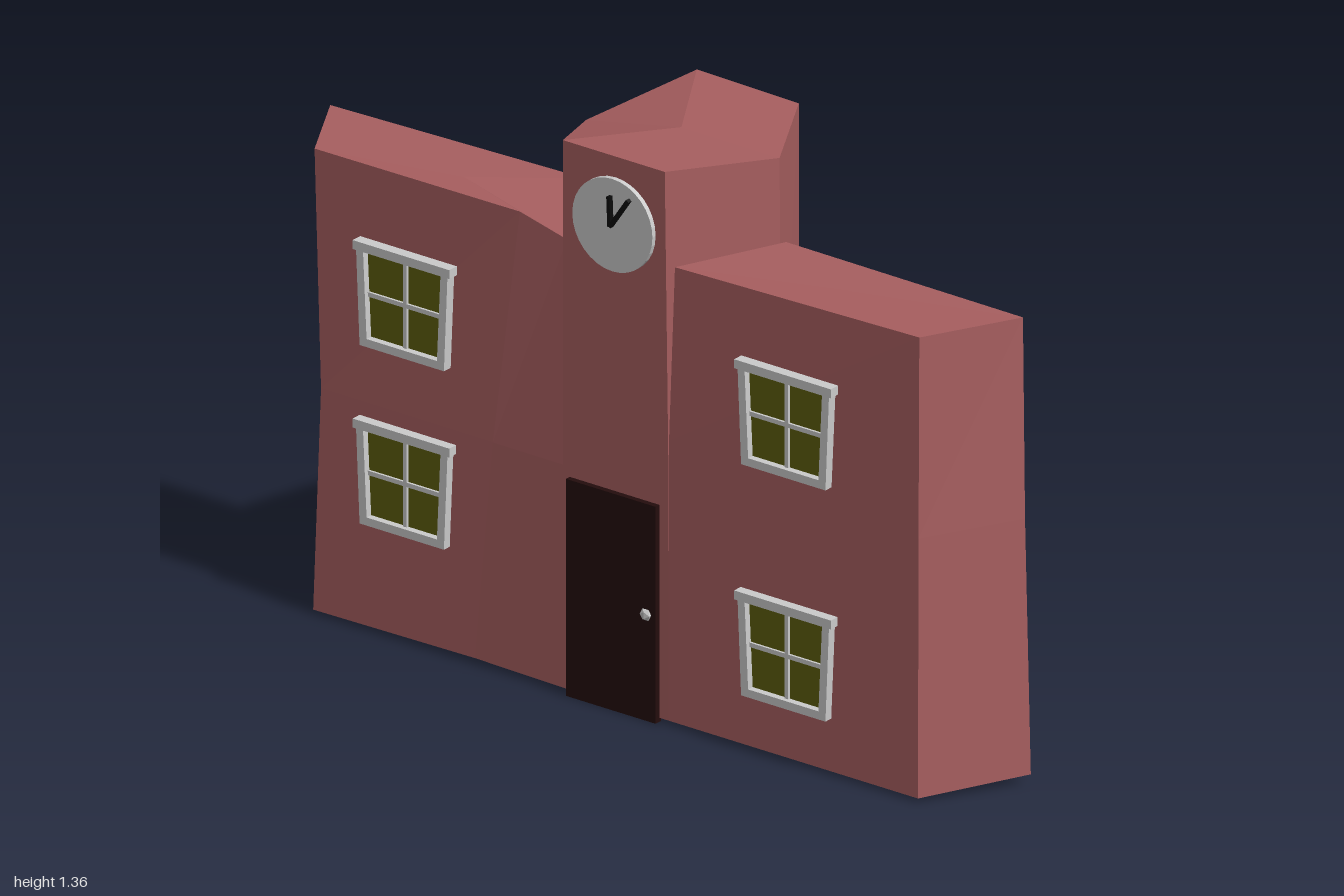
import * as THREE from 'three';

const mat = (color) => new THREE.MeshStandardMaterial({ color, flatShading: true });
const brick = mat(0xa85f60), grey = mat(0xcccccc), glass = mat(0x5e5e0c);
const doorMat = mat(0x240d0d), black = mat(0x0a0a0a);

function add(parent, name, geometry, material, x = 0, y = 0, z = 0) {
  const mesh = new THREE.Mesh(geometry, material);
  mesh.name = name;
  mesh.position.set(x, y, z);
  parent.add(mesh);
  return mesh;
}

// Closed solid through stacked rings of [x, y, z] corners, counter-clockwise from above
function loft(rings) {
  const pos = [], n = rings[0].length;
  const tri = (...p) => p.forEach((v) => pos.push(...v));
  const mid = (r) => [0, 1, 2].map((k) => r.reduce((s, p) => s + p[k], 0) / n);
  const low = rings[0], top = rings[rings.length - 1];
  const lowMid = mid(low), topMid = mid(top);
  for (let i = 0; i < n; i++) {
    const j = (i + 1) % n;
    for (let k = 0; k + 1 < rings.length; k++) {
      const a = rings[k], b = rings[k + 1];
      tri(a[i], a[j], b[j]);
      tri(a[i], b[j], b[i]);
    }
    tri(top[i], top[j], topMid);
    tri(low[j], low[i], lowMid);
  }
  const g = new THREE.BufferGeometry();
  g.setAttribute('position', new THREE.Float32BufferAttribute(pos, 3));
  g.computeVertexNormals();
  return g;
}

// Slightly tapered frame with glass, glazing bars and a lintel; origin at bottom centre
function makeWindow(x, y) {
  const win = new THREE.Group();
  win.name = 'window';
  const quad = (Type, b, t, y0, y1) => new Type([[-b, y0], [b, y0], [t, y1], [-t, y1]]
    .map(([px, py]) => new THREE.Vector2(px, py)));
  const frame = quad(THREE.Shape, 0.12, 0.13, 0, 0.235);
  frame.holes.push(quad(THREE.Path, 0.1, 0.11, 0.02, 0.232));
  add(win, 'windowFrame', new THREE.ExtrudeGeometry(frame, { depth: 0.025, bevelEnabled: false }), grey);
  const pane = quad(THREE.Shape, 0.105, 0.112, 0.01, 0.234);
  add(win, 'windowGlass', new THREE.ExtrudeGeometry(pane, { depth: 0.008, bevelEnabled: false }), glass);
  add(win, 'lintel', new THREE.BoxGeometry(0.275, 0.022, 0.028), grey, 0, 0.244, 0.014);
  add(win, 'verticalBar', new THREE.BoxGeometry(0.011, 0.22, 0.012), grey, 0, 0.122, 0.008);
  add(win, 'horizontalBar', new THREE.BoxGeometry(0.215, 0.011, 0.012), grey, 0, 0.125, 0.008);
  win.position.set(x, y, 0.231);
  return win;
}

export function createModel() {
  const school = new THREE.Group();
  school.name = 'schoolhouse';

  // Six-sided central tower with an uneven top
  add(school, 'tower', loft([
    [[-0.15, 0.01, 0.235], [0.15, 0.01, 0.235], [0.28, 0.01, -0.02],
      [0.14, 0.01, -0.26], [-0.15, 0.01, -0.26], [-0.28, 0.01, -0.02]],
    [[-0.15, 0.65, 0.235], [0.15, 0.65, 0.235], [0.275, 0.65, -0.02],
      [0.14, 0.65, -0.26], [-0.145, 0.65, -0.26], [-0.27, 0.65, -0.02]],
    [[-0.15, 1.36, 0.235], [0.14, 1.36, 0.235], [0.27, 1.34, -0.02],
      [0.14, 1.355, -0.26], [-0.15, 1.36, -0.26], [-0.28, 1.285, -0.02]],
  ]), brick);

  // Wings with splayed ends
  add(school, 'rightWing', loft([
    [[-0.86, 0.01, 0.235], [-0.4, 0.015, 0.235], [-0.15, 0.01, 0.235], [-0.28, 0.01, -0.02], [-1, 0.025, 0]],
    [[-0.84, 0.56, 0.232], [-0.35, 0.56, 0.234], [-0.15, 0.56, 0.235], [-0.28, 0.56, -0.02], [-0.99, 0.45, -0.005]],
    [[-0.86, 1.145, 0.23], [-0.28, 1.145, 0.225], [-0.15, 1.11, 0.22], [-0.28, 1.14, -0.02], [-1, 1.13, -0.01]],
  ]), brick);
  add(school, 'leftWing', loft([
    [[0.15, 0.01, 0.235], [0.86, 0.01, 0.235], [1, 0.025, 0], [0.28, 0.015, -0.02]],
    [[0.152, 0.7, 0.235], [0.86, 0.65, 0.233], [0.982, 0.65, -0.002], [0.28, 0.65, -0.02]],
    [[0.165, 1.13, 0.23], [0.86, 1.145, 0.23], [0.97, 1.14, -0.01], [0.285, 1.135, -0.025]],
  ]), brick);

  // Windows
  [[-0.592, 0.71], [-0.592, 0.27], [0.493, 0.71], [0.493, 0.14]]
    .forEach(([x, y]) => school.add(makeWindow(x, y)));

  // Door and knob
  add(school, 'door', new THREE.BoxGeometry(0.255, 0.535, 0.02), doorMat, -0.003, 0.2675, 0.239);
  add(school, 'doorKnob', new THREE.IcosahedronGeometry(0.016, 0), grey, 0.098, 0.263, 0.252).scale.z = 0.5;

  // Clock face and hands
  const face = new THREE.CylinderGeometry(0.114, 0.114, 0.012, 32).rotateX(Math.PI / 2);
  add(school, 'clockFace', face, grey, 0, 1.195, 0.241);
  for (const [x, y] of [[-0.003, 1.268], [0.052, 1.272]]) {
    const dx = x, dy = y - 1.195;
    const hand = add(school, 'clockHand', new THREE.BoxGeometry(0.009, Math.hypot(dx, dy), 0.012),
      black, dx / 2, 1.195 + dy / 2, 0.254);
    hand.rotation.z = -Math.atan2(dx, dy);
  }
  return school;
}
